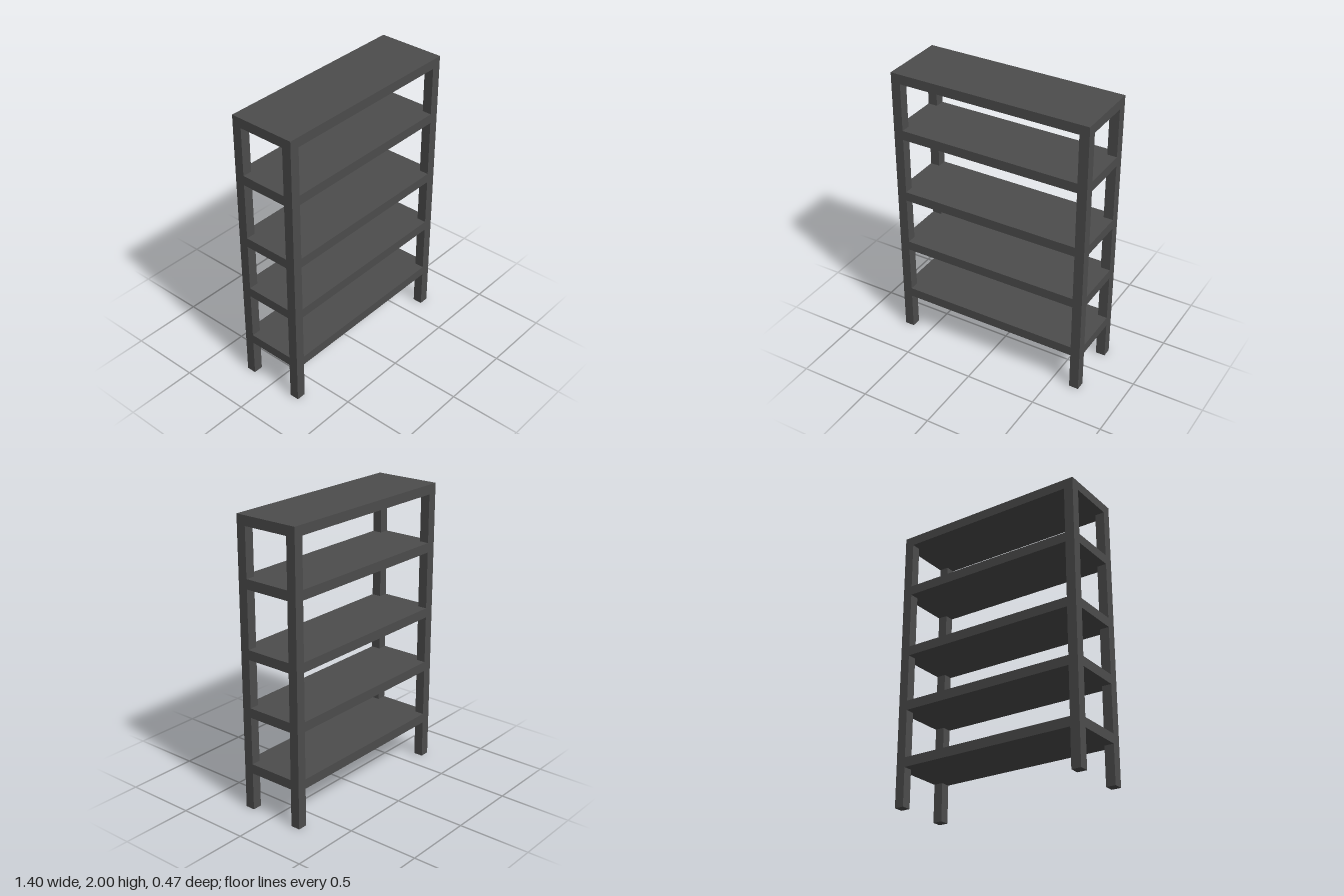
import * as THREE from 'three';

const W = 1.4, D = 0.467, H = 2, T = 0.0667; // overall size and bar thickness

export function createModel() {
  const group = new THREE.Group();
  const darkGrey = new THREE.MeshStandardMaterial({ color: 0x4c4c4c });
  darkGrey.name = 'dark grey';

  const add = (geometry, name, x, y, z) => {
    const mesh = new THREE.Mesh(geometry, darkGrey);
    mesh.name = name;
    mesh.position.set(x, y, z);
    group.add(mesh);
  };

  // Corner posts, reaching up to the top board
  const postGeometry = new THREE.BoxGeometry(T, H - T, T);
  for (const [sx, side] of [[1, 'Left'], [-1, 'Right']]) {
    for (const [sz, end] of [[1, 'front'], [-1, 'back']]) {
      add(postGeometry, `${end}${side}Post`, sx * (W - T) / 2, (H - T) / 2, sz * (D - T) / 2);
    }
  }

  // Top board covering the posts
  add(new THREE.BoxGeometry(W, T, D), 'topBoard', 0, H - T / 2, 0);

  // Shelves, flush with the posts and notched around them
  const x = W / 2, z = D / 2, xi = x - T, zi = z - T;
  const outline = new THREE.Shape([
    [-xi, -z], [xi, -z], [xi, -zi], [x, -zi], [x, zi], [xi, zi],
    [xi, z], [-xi, z], [-xi, zi], [-x, zi], [-x, -zi], [-xi, -zi],
  ].map(([a, b]) => new THREE.Vector2(a, b)));
  const shelfGeometry = new THREE.ExtrudeGeometry(outline, { depth: T, bevelEnabled: false });
  shelfGeometry.rotateX(-Math.PI / 2);
  [0.267, 0.667, 1.067, 1.533].forEach((y, i) => add(shelfGeometry, `shelf${i + 1}`, 0, y, 0));

  return group;
}
